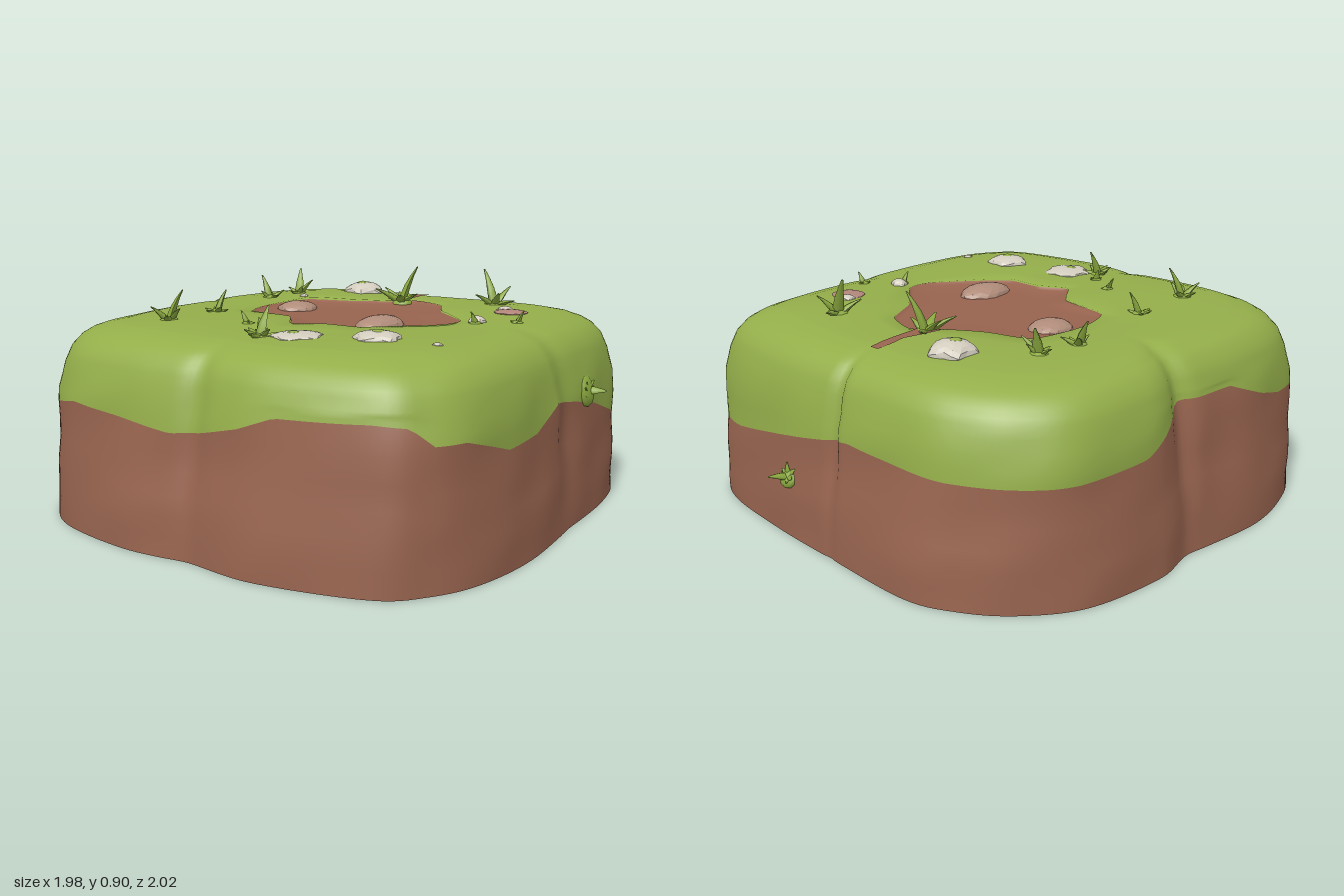
import * as THREE from 'three';

const SEG = 240, TAU = Math.PI * 2;
const { lerp, clamp } = THREE.MathUtils;
const mat = (name, color, extra = {}) =>
  Object.assign(new THREE.MeshStandardMaterial({ color, side: THREE.DoubleSide, ...extra }), { name });

// Small seeded random generator
function seeded(s) {
  return () => { s = (s * 16807) % 2147483647; return s / 2147483647; };
}

// Linear lookup in a sorted table of [key, value]
function table(t, k) {
  if (k <= t[0][0]) return t[0][1];
  for (let i = 1; i < t.length; i++) {
    if (k <= t[i][0]) {
      const d = t[i][0] - t[i - 1][0];
      return d < 1e-9 ? t[i][1] : lerp(t[i - 1][1], t[i][1], (k - t[i - 1][0]) / d);
    }
  }
  return t[t.length - 1][1];
}

// Turns a closed outline of [x, z] points into a radius-by-angle function
function radial(pts, tension) {
  const curve = new THREE.CatmullRomCurve3(
    pts.map(([x, z]) => new THREE.Vector3(x, 0, z)), true, 'catmullrom', tension);
  const s = curve.getPoints(600)
    .map(p => [(Math.atan2(p.z, p.x) + TAU) % TAU, Math.hypot(p.x, p.z)])
    .sort((a, b) => a[0] - b[0]);
  s.unshift([s[s.length - 1][0] - TAU, s[s.length - 1][1]]);
  s.push([s[1][0] + TAU, s[1][1]]);
  return a => table(s, ((a % TAU) + TAU) % TAU);
}

// Outlines: foot of the wall, wall at mid height, bare hollow
const baseR = radial([[0.98, 0.3], [0.94, 0.6], [0.85, 0.79], [0.7, 0.92], [0.3, 1.0], [0, 0.97],
  [-0.3, 0.975], [-0.65, 0.895], [-0.84, 0.76], [-0.93, 0.58], [-0.98, 0.3], [-0.94, -0.08],
  [-0.965, -0.3], [-0.91, -0.62], [-0.77, -0.82], [-0.6, -0.94], [-0.4, -1.0], [0, -0.975],
  [0.35, -0.945], [0.7, -0.885], [0.86, -0.77], [0.93, -0.5], [0.955, -0.1]], 0.5);
const midR = radial([[0.945, 0.3], [0.92, 0.6], [0.84, 0.77], [0.7, 0.885], [0.3, 0.945], [0, 0.92],
  [-0.35, 0.92], [-0.65, 0.87], [-0.83, 0.74], [-0.905, 0.57], [-0.925, 0.3], [-0.895, -0.08],
  [-0.92, -0.3], [-0.88, -0.62], [-0.75, -0.8], [-0.58, -0.9], [-0.38, -0.945], [0, -0.935],
  [0.35, -0.925], [0.7, -0.865], [0.85, -0.76], [0.915, -0.5], [0.93, -0.1]], 0.5);
const dirtR = radial([[-0.41, -0.12], [-0.38, -0.32], [-0.2, -0.37], [-0.05, -0.44], [0.05, -0.51],
  [0.2, -0.45], [0.3, -0.28], [0.48, -0.1], [0.47, 0.02], [0.33, 0.2], [0.25, 0.27], [0.1, 0.27],
  [-0.02, 0.32], [-0.13, 0.18], [-0.35, 0.12], [-0.4, 0.0]], 0.3);

// Wall: height to blend from foot to mid outline; shoulder: height to scale of mid outline
const flare = [[0, 0], [0.15, 0.12], [0.25, 0.45], [0.35, 0.8], [0.5, 1]];
const shoulder = [[0.5, 1], [0.6, 0.975], [0.66, 0.95], [0.7, 0.915], [0.722, 0.88], [0.74, 0.83],
  [0.752, 0.765], [0.758, 0.65]];
const shoulderUp = shoulder.map(([y, s]) => [s, y]).reverse();
// Height of the lower grass edge by angle in degrees
const grassEdge = [[0, 0.5], [12, 0.43], [24, 0.42], [36, 0.49], [42, 0.49], [46, 0.55], [52, 0.56],
  [70, 0.55], [78, 0.5], [90, 0.45], [97, 0.44], [112, 0.47], [124, 0.49], [136, 0.45], [150, 0.46],
  [158, 0.5], [168, 0.57], [184, 0.57], [200, 0.45], [216, 0.44], [240, 0.44], [265, 0.46], [285, 0.4],
  [305, 0.33], [318, 0.31], [326, 0.36], [337, 0.43], [348, 0.47], [360, 0.5]];
// Grooves: angle, angular width, depth
const grooves = [[1.59, 0.06, 0.025], [3.23, 0.06, 0.035], [4.72, 0.025, 0.025], [6.17, 0.08, 0.015]];

function wallPoint(a, y) {
  const s = table(shoulder, y);
  let r = lerp(baseR(a), midR(a), table(flare, y)) * s;
  const depth = clamp(0.2 + 1.6 * y, 0, 1) * clamp((s - 0.68) / 0.15, 0, 1);
  for (const [a0, w, d] of grooves) r -= d * depth * Math.exp(-(((a - a0) / w) ** 2));
  if (y > 0.02 && y < 0.6) r += 0.005 * Math.sin(a * 13 + y * 17) * Math.sin(a * 5 - y * 11);
  return [r * Math.cos(a), y, r * Math.sin(a)];
}

// Gentle unevenness of the lawn
const swell = (x, z) => 0.005 * Math.sin(x * 7 + 1) * Math.cos(z * 6);
const groundY = (x, z) =>
  table(shoulderUp, Math.hypot(x, z) / midR(Math.atan2(z, x))) + swell(x, z);

// Joins closed rings, each a function of angle giving a point
function loft(rings) {
  const pos = [], idx = [];
  for (const ring of rings) for (let j = 0; j < SEG; j++) pos.push(...ring(j / SEG * TAU));
  for (let i = 0; i < rings.length - 1; i++) for (let j = 0; j < SEG; j++) {
    const k = (j + 1) % SEG, p = i * SEG + j, q = i * SEG + k;
    idx.push(p, p + SEG, q, q, p + SEG, q + SEG);
  }
  return surface(pos, idx);
}

function surface(pos, idx) {
  const g = new THREE.BufferGeometry();
  g.setAttribute('position', new THREE.Float32BufferAttribute(pos, 3));
  g.setIndex(idx);
  g.computeVertexNormals();
  return g;
}

export function createModel() {
  const root = new THREE.Group();
  root.name = 'grassBlock';
  const soil = mat('soil brown', 0x98644f), grass = mat('grass green', 0x94ae4a);
  const blade = mat('blade green', 0x8caa40), pale = mat('pale stone', 0xd3cdbf, { flatShading: true });
  const dusty = mat('dusty stone', 0xb08c7a, { flatShading: true }), rosy = mat('rosy stone', 0xb3877b, { flatShading: true });
  const add = (name, geo, m, parent = root) => {
    const mesh = new THREE.Mesh(geo, m);
    mesh.name = name;
    parent.add(mesh);
    return mesh;
  };
  const edge = a => table(grassEdge, THREE.MathUtils.radToDeg(a));

  // Soil wall, open underneath
  add('soilWall', loft([0, 0.17, 0.34, 0.5, 0.67, 0.84, 1].map(t => a => wallPoint(a, edge(a) * t))), soil);

  // Grass skirt, rounded shoulder and lawn with a hollow
  const rings = [0, 0.33, 0.67, 1].map(t => a => wallPoint(a, lerp(edge(a), 0.6, t)));
  for (const y of [0.635, 0.66, 0.682, 0.7, 0.712, 0.722, 0.732, 0.74, 0.747, 0.752]) rings.push(a => {
    const [x, h, z] = wallPoint(a, y);
    return [x, h + (y > 0.735 ? swell(x, z) : 0), z];
  });
  const flat = (a, r, y) => [r * Math.cos(a), y, r * Math.sin(a)];
  for (const t of [0.25, 0.5, 0.75, 1]) rings.push(a => {
    const r = lerp(midR(a) * 0.765, dirtR(a), t), [x, , z] = flat(a, r, 0);
    return [x, groundY(x, z), z];
  });
  rings.push(a => flat(a, dirtR(a) * 0.985, 0.727), a => flat(a, 0.001, 0.727));
  add('grassCover', loft(rings), grass);

  // Bare soil in the hollow
  add('soilPatch', loft([[1.004, 0.754], [0.965, 0.741], [0.6, 0.738], [0.001, 0.738]]
    .map(([k, y]) => a => flat(a, dirtR(a) * k, y))), soil);

  // Soil crack running back from the hollow
  const crack = [[-0.02, -0.46, 0.045], [-0.02, -0.54, 0.032], [-0.014, -0.62, 0.02], [-0.022, -0.69, 0.024], [-0.02, -0.75, 0.02]];
  const cp = [], ci = [];
  crack.forEach(([x, z, w], i) => {
    for (const e of [-w, w]) cp.push(x + e, groundY(x, z) + 0.005, z);
    if (i) { const n = i * 2; ci.push(n - 2, n - 1, n, n - 1, n + 1, n); }
  });
  add('soilCrack', surface(cp, ci), soil);

  // Stones: squashed, slightly irregular balls
  const stone = (name, m, x, z, rx, rz, rise, y = groundY(x, z)) => {
    const g = new THREE.IcosahedronGeometry(1, 2), p = g.attributes.position;
    for (let i = 0; i < p.count; i++) {
      const a = Math.atan2(p.getZ(i), p.getX(i));
      const k = 1 + (m === pale ? 0.12 : 0.04) * Math.sin(a * 5 + x * 40) * (1 - Math.abs(p.getY(i)));
      p.setXYZ(i, p.getX(i) * k * rx, p.getY(i) * rise, p.getZ(i) * k * rz);
    }
    g.computeVertexNormals();
    add(name, g, m).position.set(x, y, z);
  };
  [[-0.28, -0.62, 0.085, 0.085, 0.045], [0.17, 0.55, 0.092, 0.095, 0.018], [0.46, 0.48, 0.085, 0.08, 0.03],
    [0.55, -0.1, 0.035, 0.03, 0.025], [0.52, -0.41, 0.032, 0.03, 0.015], [-0.42, -0.34, 0.018, 0.018, 0.01],
    [0.68, 0.45, 0.018, 0.018, 0.008]].forEach(s => stone('paleStone', pale, ...s));
  stone('dustyStone', dusty, -0.3, -0.12, 0.08, 0.09, 0.035, 0.738);
  stone('dustyStone', dusty, 0.23, 0.085, 0.082, 0.12, 0.04, 0.738);
  stone('rosyStone', rosy, 0.565, -0.365, 0.068, 0.065, 0.01);
  // Moss spots on the larger pale stones
  [[-0.285, -0.61, 0.04], [0.165, 0.565, 0.014], [0.465, 0.485, 0.026]].forEach(([x, z, h]) =>
    stone('mossSpot', grass, x, z, 0.024, 0.024, 0.01, groundY(x, z) + h - 0.002));

  // Grass tufts: a mound, one upright blade and a splayed ring of shorter ones
  const bladeGeo = (len, width, bend) => {
    const g = new THREE.CylinderGeometry(0.15, 0.75, 1, 5, 4).translate(0, 0.5, 0), p = g.attributes.position;
    for (let i = 0; i < p.count; i++) {
      const t = p.getY(i), bulge = width * (1 + 0.5 * Math.sin(t * Math.PI));
      p.setXYZ(i, p.getX(i) * bulge * 0.7 + bend * t * t, t * len, p.getZ(i) * bulge);
    }
    g.computeVertexNormals();
    return g;
  };
  const tuft = (x, y, z, h, n, dir, seed, mound = 0.02 + h * 0.2) => {
    const rnd = seeded(seed * 7919 + 13), t = new THREE.Group();
    t.name = 'grassTuft';
    add('mound', new THREE.IcosahedronGeometry(1, 1).scale(mound, 0.026, mound), blade, t);
    for (let i = 0; i < n; i++) {
      const len = i ? h * (0.55 + 0.3 * rnd()) : h + 0.015;
      const b = add('blade', bladeGeo(len, 0.014 + 0.09 * len, len * 0.2), blade, t);
      b.rotation.order = 'YXZ';
      b.rotation.set(0, dir + i * TAU / n + (i ? rnd() * 0.6 : 0), i ? -0.5 - rnd() * 0.55 : -0.2);
    }
    t.position.set(x, y - 0.015, z);
    root.add(t);
    return t;
  };
  [[-0.51, -0.43, 0.11, 6, 2], [-0.54, -0.25, 0.1, 5, 3], [-0.46, 0.22, 0.09, 6, 1], [-0.45, 0.52, 0.12, 6, 0.6],
    [-0.15, 0.42, 0.05, 4, 3.4], [0.05, 0.61, 0.11, 6, 1.5], [-0.01, 0.52, 0.05, 4, 2.6], [-0.01, -0.49, 0.155, 6, 0.6],
    [0.4, -0.56, 0.15, 6, 2.8], [0.68, -0.18, 0.05, 4, 0.3], [0.56, -0.07, 0.05, 5, 4.4]]
    .forEach(([x, z, h, n, d], i) => tuft(x, groundY(x, z), z, h, n, d, i + 1));
  // Tufts growing out of the side walls
  tuft(0.918, 0.51, -0.3, 0.065, 8, 1, 31, 0.065).rotation.z = -1.35;
  tuft(0.26, 0.25, -0.94, 0.07, 7, 1, 37, 0.045).rotation.x = -1.0;

  return root;
}
